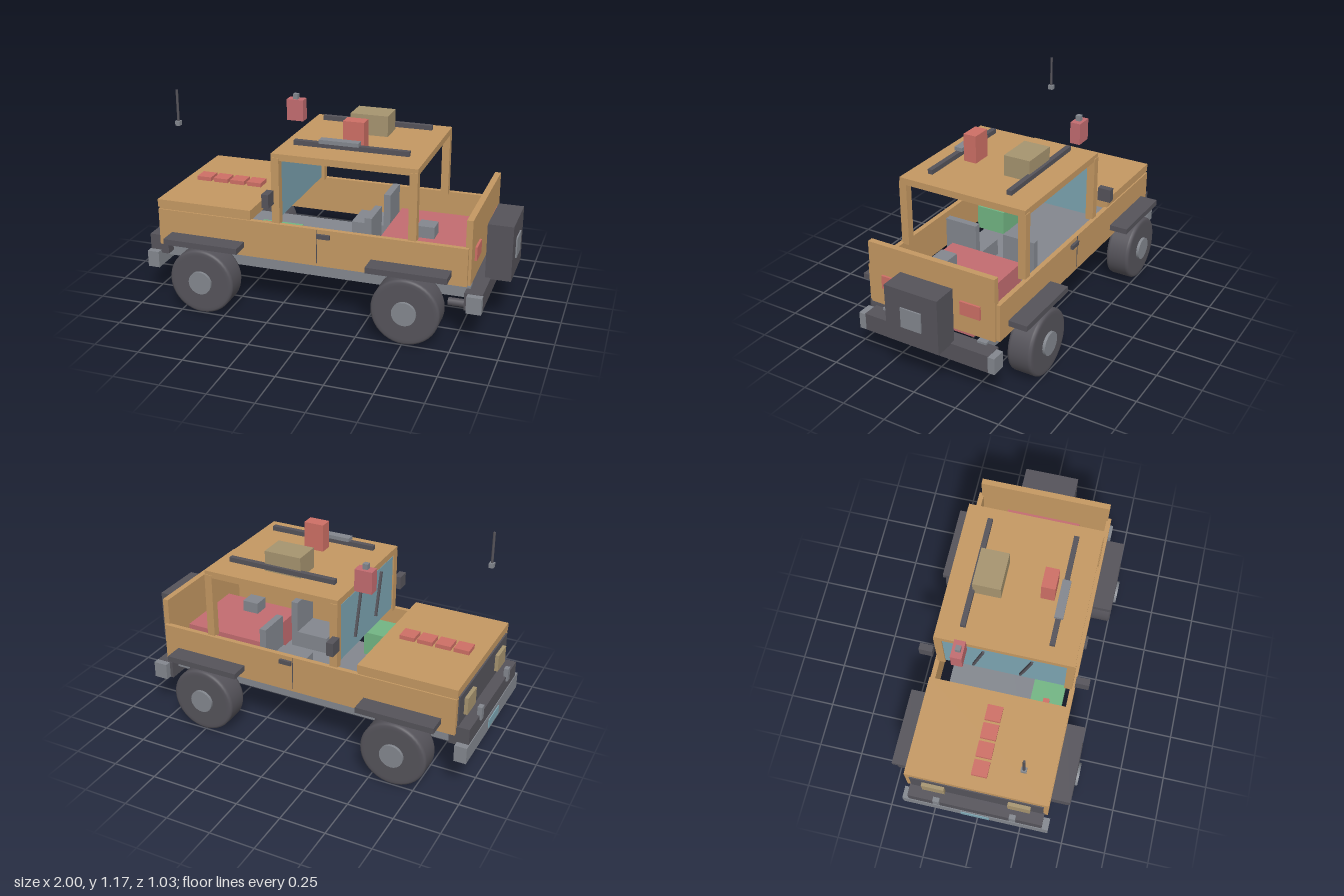
import * as THREE from 'three';

const mat = (name, color) => {
  const m = new THREE.MeshStandardMaterial({ color });
  m.name = name;
  return m;
};

export function createModel() {
  const tan = mat('tan paint', 0xc49862);
  const dark = mat('dark trim', 0x55535a);
  const grey = mat('grey metal', 0x83878e);
  const red = mat('red', 0xcd6f65);
  const rose = mat('rose red', 0xc26c70);
  const khaki = mat('khaki', 0xa6946f);
  const glass = mat('blue glass', 0x7ca4b1);
  const green = mat('green', 0x72b583);

  const model = new THREE.Group();
  model.name = 'offRoadVehicle';

  const add = (name, geo, material, x, y, z) => {
    const mesh = new THREE.Mesh(geo, material);
    mesh.name = name;
    mesh.position.set(x, y, z);
    model.add(mesh);
    return mesh;
  };
  // box given by its limits on each axis
  const box = (name, m, [x0, x1], [y0, y1], [z0, z1]) =>
    add(name, new THREE.BoxGeometry(x1 - x0, y1 - y0, z1 - z0), m,
      (x0 + x1) / 2, (y0 + y1) / 2, (z0 + z1) / 2);
  // the same box on both sides of the vehicle
  const pair = (name, m, x, y, [z0, z1]) => {
    box(name, m, x, y, [z0, z1]);
    box(name, m, x, y, [-z1, -z0]);
  };

  // chassis
  pair('chassisRail', grey, [-0.92, 0.81], [0.233, 0.297], [0.262, 0.316]);
  for (const x of [-0.62, -0.05]) box('crossMember', grey, [x - 0.025, x + 0.025], [0.235, 0.29], [-0.262, 0.262]);
  box('floor', grey, [-0.88, 0.725], [0.272, 0.305], [-0.297, 0.297]);

  // wheels with rounded tyre shoulders
  const R = 0.183, W = 0.07, b = 0.014;
  const profile = [[0, -W], [R - 0.03, -W], [R - b, -W], [R - 0.004, -W + 0.004], [R, -W + b],
    [R, -W + 0.02], [R, W - 0.02], [R, W - b], [R - 0.004, W - 0.004], [R - b, W], [R - 0.03, W], [0, W]]
    .map(([x, y]) => new THREE.Vector2(x, y));
  const tyre = new THREE.LatheGeometry(profile, 40).rotateX(Math.PI / 2);
  const hub = new THREE.CylinderGeometry(0.065, 0.065, 0.165, 28).rotateX(Math.PI / 2);
  for (const x of [-0.628, 0.51]) for (const s of [1, -1]) {
    add('tyre', tyre, dark, x, 0.186, s * 0.432);
    add('hub', hub, grey, x, 0.186, s * 0.435);
  }

  // body shell
  pair('sidePanel', tan, [-0.917, 0.805], [0.329, 0.537], [0.366, 0.393]);
  box('hood', tan, [-0.92, -0.374], [0.548, 0.592], [-0.39, 0.39]);
  box('hoodBase', tan, [-0.915, -0.378], [0.53, 0.548], [-0.385, 0.385]);
  box('tailgate', tan, [0.787, 0.82], [0.33, 0.684], [-0.374, 0.374]);
  box('grille', dark, [-0.925, -0.9], [0.35, 0.54], [-0.366, 0.366]);
  for (const x of [-0.628, 0.511]) pair('fenderFlare', dark, [x - 0.214, x + 0.214], [0.377, 0.409], [0.39, 0.497]);
  pair('doorHandle', dark, [0.005, 0.075], [0.49, 0.514], [0.39, 0.408]);
  pair('doorSeam', dark, [-0.002, 0.002], [0.345, 0.535], [0.39, 0.395]);

  // cab
  box('roof', tan, [-0.254, 0.532], [0.885, 0.922], [-0.374, 0.374]);
  for (const x of [-0.254, 0.489]) pair('pillar', tan, [x, x + 0.043], [0.53, 0.9], [0.334, 0.378]);
  box('windshield', glass, [-0.246, -0.228], [0.55, 0.873], [-0.334, 0.334]);
  for (const z of [-0.14, 0.12]) {
    const wiper = add('wiper', new THREE.BoxGeometry(0.013, 0.25, 0.013), dark, -0.259, 0.74, z);
    wiper.rotation.x = 0.25;
  }
  pair('mirror', dark, [-0.274, -0.236], [0.65, 0.725], [0.391, 0.466]);

  // lamps
  pair('headlight', khaki, [-0.945, -0.92], [0.404, 0.5], [0.174, 0.298]);
  pair('tailLight', red, [0.815, 0.832], [0.435, 0.51], [0.178, 0.294]);

  // hood vents
  for (let i = 0; i < 4; i++) {
    const x = -0.848 + i * 0.102;
    box('hoodVent', red, [x, x + 0.085], [0.59, 0.615], [-0.043, 0.043]);
  }

  // front bumper
  box('frontBumper', grey, [-0.992, -0.925], [0.19, 0.283], [-0.41, 0.41]);
  box('frontGuard', dark, [-0.988, -0.88], [0.265, 0.372], [-0.374, 0.374]);
  pair('towPost', grey, [-0.998, -0.973], [0.345, 0.42], [0.193, 0.228]);
  box('frontPlate', glass, [-0.997, -0.99], [0.21, 0.26], [-0.08, 0.08]);

  // rear bumper, spare carrier and exhaust
  box('rearBumper', dark, [0.79, 0.885], [0.187, 0.285], [-0.374, 0.374]);
  pair('rearBumperEnd', grey, [0.808, 0.888], [0.19, 0.283], [0.372, 0.41]);
  box('spareCase', dark, [0.853, 0.99], [0.278, 0.586], [-0.155, 0.155]);
  box('spareCap', grey, [0.985, 0.998], [0.375, 0.487], [-0.06, 0.06]);
  add('exhaust', new THREE.CylinderGeometry(0.022, 0.022, 0.115, 16).rotateZ(Math.PI / 2), dark, 0.747, 0.178, 0.277);

  // interior
  box('cargoBed', rose, [0.297, 0.767], [0.274, 0.465], [-0.215, 0.215]);
  box('cargoBox', grey, [0.48, 0.575], [0.465, 0.53], [0.067, 0.16]);
  pair('seatCushion', grey, [0.04, 0.227], [0.305, 0.4], [0.085, 0.275]);
  pair('seatBack', grey, [0.227, 0.265], [0.305, 0.585], [0.085, 0.275]);
  box('engineTank', green, [-0.39, -0.158], [0.315, 0.455], [0.165, 0.34]);
  box('engineTankCap', red, [-0.355, -0.318], [0.455, 0.48], [0.235, 0.27]);

  // roof load
  pair('roofRail', dark, [-0.174, 0.452], [0.938, 0.964], [0.222, 0.25]);
  box('lightBar', grey, [-0.03, 0.185], [0.963, 0.984], [0.215, 0.262]);
  box('roofCase', khaki, [0.032, 0.243], [0.922, 1.037], [-0.233, -0.081]);
  box('roofCan', red, [0.08, 0.195], [0.922, 1.077], [0.12, 0.195]);

  // raised fuel can and antenna
  box('fuelCan', rose, [-0.382, -0.284], [0.928, 1.05], [-0.247, -0.187]);
  box('fuelCanCap', grey, [-0.348, -0.32], [1.05, 1.08], [-0.228, -0.2]);
  box('antennaBase', grey, [-0.858, -0.832], [0.976, 1.002], [0.223, 0.253]);
  add('antennaRod', new THREE.CylinderGeometry(0.007, 0.007, 0.174, 10), dark, -0.845, 1.087, 0.238);

  return model;
}
